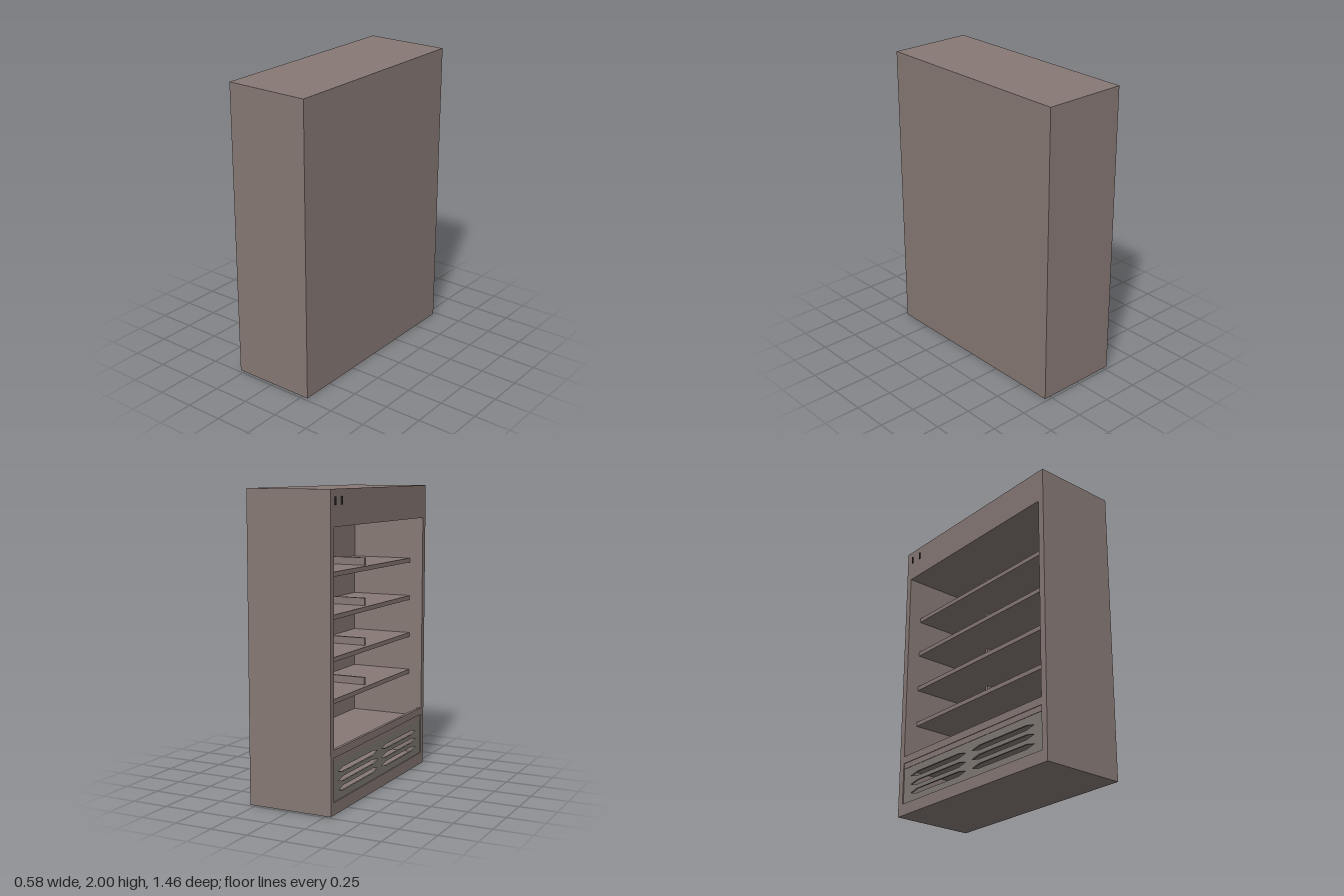
import * as THREE from 'three';

const mat = (name, color) => {
  const m = new THREE.MeshStandardMaterial({ color });
  m.name = name;
  return m;
};

export function createModel() {
  const body = mat('warm grey steel', 0x877975);
  const grilleGrey = mat('grille grey', 0x807a74);
  const dark = mat('dark trim', 0x3c3836);

  const model = new THREE.Group();
  model.name = 'openDisplayCabinet';

  // Box given by its minimum and maximum on each axis
  const box = (name, material, [x0, x1], [y0, y1], [z0, z1]) => {
    const mesh = new THREE.Mesh(new THREE.BoxGeometry(x1 - x0, y1 - y0, z1 - z0), material);
    mesh.name = name;
    mesh.position.set((x0 + x1) / 2, (y0 + y1) / 2, (z0 + z1) / 2);
    model.add(mesh);
    return mesh;
  };

  const open = -0.285, back = 0.292, inner = 0.247; // opening plane, rear face, inner rear wall
  const side = 0.73, wall = 0.685;                  // outer and inner half widths

  // Carcass: the cabinet opens towards -x
  box('rearWall', body, [inner, back], [0, 2], [-side, side]);
  for (const s of [-1, 1]) {
    const z = s > 0 ? [wall, side] : [-side, -wall];
    box(s > 0 ? 'leftWall' : 'rightWall', body, [open, inner], [0, 2], z);
  }
  box('header', body, [open, inner], [1.775, 2], [-wall, wall]);
  box('plinth', body, [open, inner], [0, 0.08], [-wall, wall]);

  // Bottom deck with its raised edge
  box('deck', body, [-0.265, inner], [0.325, 0.355], [-wall, wall]);
  box('deckLip', body, [open, -0.265], [0.363, 0.413], [-wall, wall]);
  box('deckLipBase', body, [-0.28, -0.265], [0.325, 0.363], [-wall, wall]);

  // Four shelves, each with a low divider in the middle
  for (let i = 0; i < 4; i++) {
    const y = 0.687 + i * 0.267;
    box('shelf', body, [-0.19, inner], [y - 0.03, y], [-wall, wall]);
    box('shelfDivider', body, [-0.155, inner], [y, y + 0.05], [0.01, 0.03]);
  }

  // Ventilation grille: long tapered slots in two halves
  const panel = new THREE.Shape();
  panel.moveTo(-wall, 0.08).lineTo(wall, 0.08).lineTo(wall, 0.345).lineTo(-wall, 0.345).closePath();
  for (const s of [-1, 1]) {
    for (const y of [0.14, 0.2, 0.26]) {
      const slot = new THREE.Path();
      slot.moveTo(s * 0.03, y).lineTo(s * 0.1, y + 0.016).lineTo(s * 0.54, y + 0.016)
        .lineTo(s * 0.61, y).lineTo(s * 0.54, y - 0.016).lineTo(s * 0.1, y - 0.016).closePath();
      panel.holes.push(slot);
    }
  }
  const grilleGeo = new THREE.ExtrudeGeometry(panel, { depth: 0.012, bevelEnabled: false });
  grilleGeo.rotateY(-Math.PI / 2);
  const grille = new THREE.Mesh(grilleGeo, grilleGrey);
  grille.name = 'ventGrille';
  grille.position.x = -0.265;
  model.add(grille);

  // Small switches on the header
  for (const z of [-0.67, -0.585]) {
    box('headerSwitch', dark, [-0.292, open], [1.905, 1.955], [z - 0.006, z + 0.006]);
  }

  return model;
}
